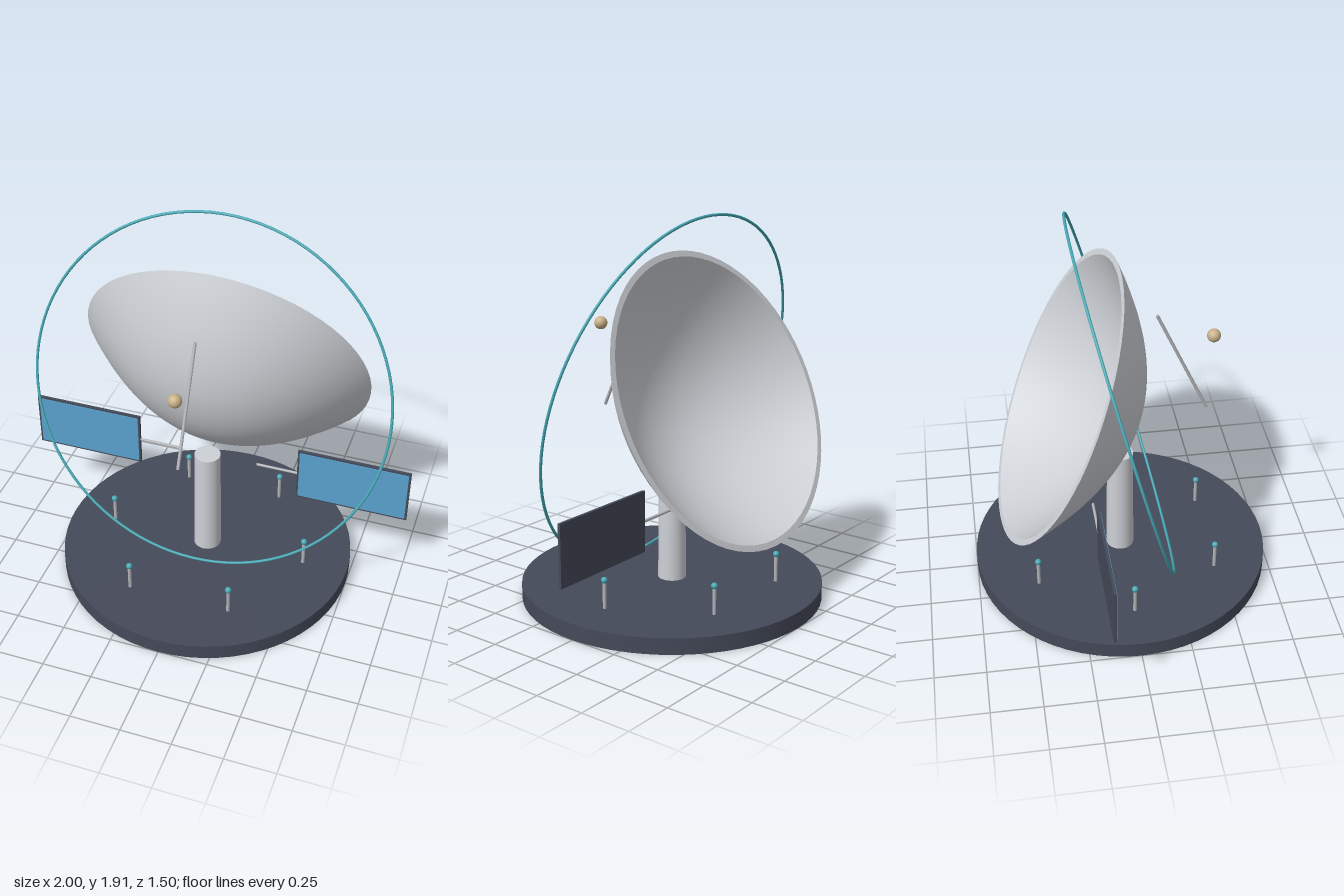
import * as THREE from 'three';

const flat = (name, color) => {
  const m = new THREE.MeshStandardMaterial({ color });
  m.name = name;
  return m;
};

export function createModel() {
  const root = new THREE.Group();
  root.name = 'dishStation';

  const shell = flat('pale grey', 0xcdd0d5);
  const dark = flat('dark slate', 0x454a59);
  const metal = flat('rod grey', 0xb4b5b8);
  const teal = flat('teal', 0x48a9b5);
  const blue = flat('panel blue', 0x5aa2d0);
  const tan = flat('tan', 0xc9b189);

  const add = (name, geometry, material, x = 0, y = 0, z = 0, parent = root) => {
    const mesh = new THREE.Mesh(geometry, material);
    mesh.name = name;
    mesh.position.set(x, y, z);
    parent.add(mesh);
    return mesh;
  };

  // Straight round rod between two points
  const rod = (name, a, b, r, material) => {
    const from = new THREE.Vector3(...a), to = new THREE.Vector3(...b);
    const dir = to.clone().sub(from);
    const mesh = add(name, new THREE.CylinderGeometry(r, r, dir.length(), 12), material);
    mesh.position.copy(from).add(to).multiplyScalar(0.5);
    mesh.quaternion.setFromUnitVectors(new THREE.Vector3(0, 1, 0), dir.normalize());
    return mesh;
  };

  // Base and column
  add('base', new THREE.CylinderGeometry(0.75, 0.75, 0.08, 64), dark, 0, 0.04, 0);
  add('column', new THREE.CylinderGeometry(0.066, 0.07, 0.585, 32), shell, 0, 0.3725, 0);

  // Tilted paraboloid dish: outer skin, flat lip, inner skin
  const dish = new THREE.Group();
  dish.name = 'dish';
  dish.position.set(0, 0.879, 0.054);
  dish.rotation.x = THREE.MathUtils.degToRad(-65);
  root.add(dish);
  const parabola = (radius, bottom, top) => Array.from({ length: 25 }, (_, i) => {
    const t = i / 24;
    return new THREE.Vector2(radius * t, bottom + (top - bottom) * t * t);
  });
  const lathe = (name, points) => add(name, new THREE.LatheGeometry(points, 64), shell, 0, 0, 0, dish);
  lathe('dishOuter', parabola(0.735, 0, 0.4));
  lathe('dishLip', [new THREE.Vector2(0.735, 0.4), new THREE.Vector2(0.705, 0.4)]);
  lathe('dishInner', parabola(0.705, 0.01, 0.4).reverse());

  // Feed rod and receiver ball
  rod('feedRod', [0, 0.905, 0.428], [0, 1.455, 0.175], 0.008, metal);
  add('receiver', new THREE.SphereGeometry(0.033, 24, 16), tan, 0, 1.32, 0.45);

  // Large tilted hoop
  const hoop = add('hoop', new THREE.TorusGeometry(0.9, 0.007, 10, 96), teal, 0, 1.03, 0);
  hoop.rotation.x = THREE.MathUtils.degToRad(-15);

  // Solar panels on struts, mirrored
  for (const [side, s] of [['left', 1], ['right', -1]]) {
    add(side + 'PanelFrame', new THREE.BoxGeometry(0.575, 0.298, 0.014), dark, s * 0.7125, 0.524, -0.164);
    add(side + 'PanelCells', new THREE.BoxGeometry(0.555, 0.278, 0.004), blue, s * 0.7125, 0.524, -0.156);
    rod(side + 'Strut', [s * 0.21, 0.524, -0.164], [s * 0.43, 0.524, -0.164], 0.007, metal);
  }

  // Ring of six beacon posts
  for (let i = 0; i < 6; i++) {
    const a = i * Math.PI / 3;
    const x = 0.52 * Math.cos(a), z = 0.52 * Math.sin(a);
    rod('beaconPost', [x, 0.08, z], [x, 0.215, z], 0.009, metal);
    add('beaconLight', new THREE.SphereGeometry(0.016, 16, 12), teal, x, 0.222, z);
  }

  return root;
}
